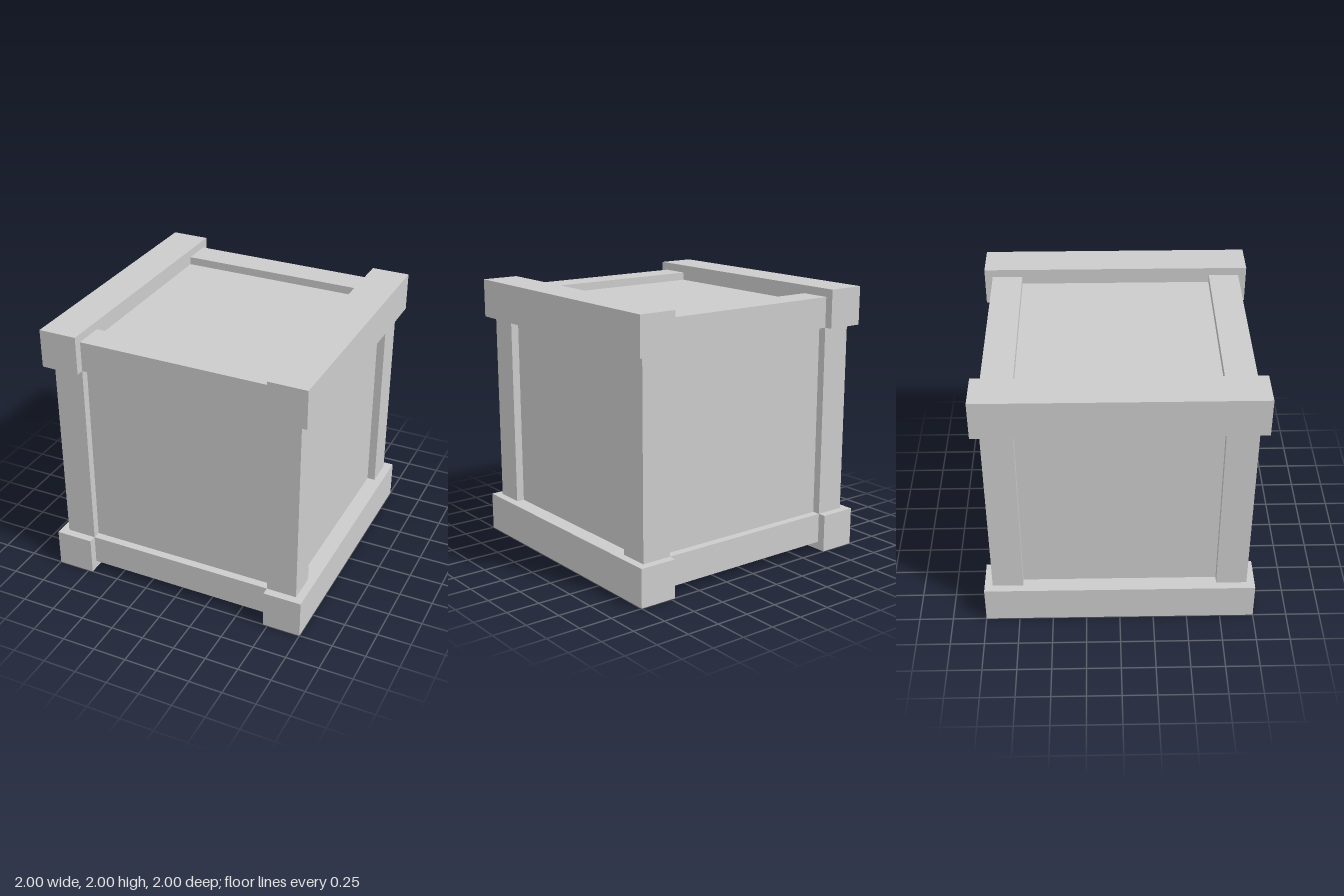
import * as THREE from 'three';

const OUTER = 1;      // half size over the long beams
const FRAME = 0.94;   // half size over posts and cross rails
const PANEL = 0.88;   // half size of the recessed panels
const INNER = 0.715;  // inner edge of all the timbers

export function createModel() {
  const crate = new THREE.Group();
  crate.name = 'crate';
  const material = new THREE.MeshStandardMaterial({ color: 0xcccccc, flatShading: true });

  const addBox = (name, size, position) => {
    const mesh = new THREE.Mesh(new THREE.BoxGeometry(...size), material);
    mesh.name = name;
    mesh.position.set(position[0], position[1] + OUTER, position[2]);
    crate.add(mesh);
  };

  // Core whose faces are the six recessed panels
  addBox('panels', [2 * PANEL, 2 * PANEL, 2 * PANEL], [0, 0, 0]);

  const beamWidth = OUTER - INNER, beamMid = (OUTER + INNER) / 2;
  const timberWidth = FRAME - INNER, timberMid = (FRAME + INNER) / 2;

  for (const a of [-1, 1]) {
    for (const b of [-1, 1]) {
      // Thick beams running front to back along the top and bottom
      addBox('sideBeam', [beamWidth, beamWidth, 2 * OUTER], [a * beamMid, b * beamMid, 0]);
      // Thinner rails across the front and back, fitted between the beams
      addBox('crossRail', [2 * INNER, timberWidth, timberWidth], [0, a * timberMid, b * timberMid]);
      // Corner posts standing between the beams
      addBox('cornerPost', [timberWidth, 2 * INNER, timberWidth], [a * timberMid, 0, b * timberMid]);
    }
  }
  return crate;
}
